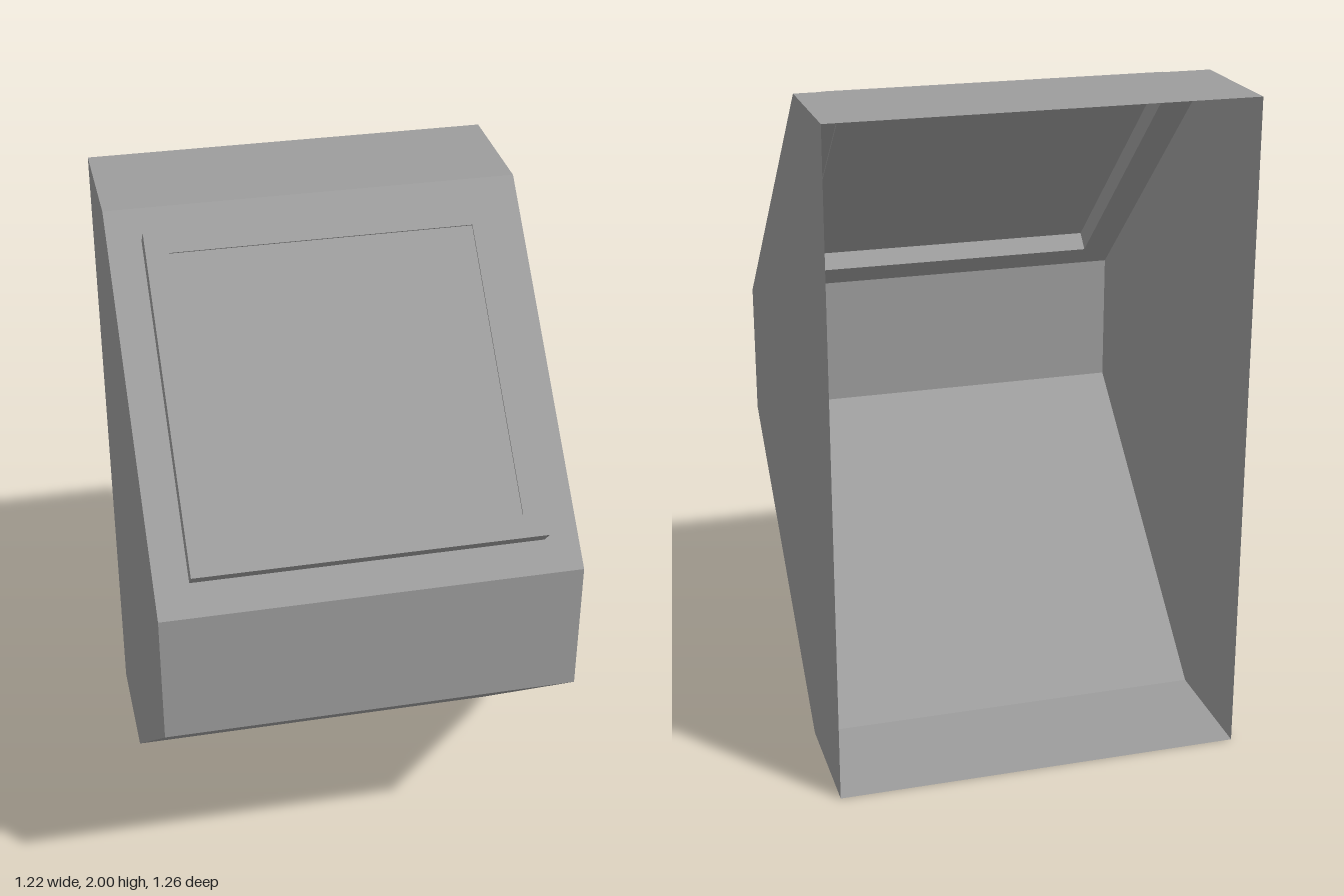
import * as THREE from 'three';

const material = new THREE.MeshStandardMaterial({ color: 0x9d9d9d, flatShading: true, side: THREE.DoubleSide });

function add(parent, name, geometry) {
  const mesh = new THREE.Mesh(geometry, material);
  mesh.name = name;
  parent.add(mesh);
  return mesh;
}

// Strip of flat quads joining two matching rows of points
function strip(a, b, closed = false) {
  const points = [];
  const count = closed ? a.length : a.length - 1;
  for (let i = 0; i < count; i++) {
    const j = (i + 1) % a.length;
    points.push(a[i], b[i], b[j], a[i], b[j], a[j]);
  }
  const geometry = new THREE.BufferGeometry().setFromPoints(points);
  geometry.computeVertexNormals();
  return geometry;
}

// Corners of a centred rectangle, counter-clockwise
const corners = (w, h, z = 0) =>
  [[-1, -1], [1, -1], [1, 1], [-1, 1]].map(([x, y]) => new THREE.Vector3(x * w, y * h, z));

// Flat rectangular sheet with a rectangular opening
function sheetWithHole(w, h, holeW, holeH) {
  const shape = new THREE.Shape(corners(w, h));
  shape.holes.push(new THREE.Path(corners(holeW, holeH).reverse()));
  return new THREE.ShapeGeometry(shape);
}

export function createModel() {
  const model = new THREE.Group();
  model.name = 'slopedCabinet';

  // Side outline as [z, y]; the back stays open
  const halfWidth = 0.612;
  const outline = [[-0.63, 0], [-0.243, 0], [0.63, 0.758], [0.63, 1.17], [-0.243, 2], [-0.63, 2]];

  // Side walls
  for (const side of [-1, 1]) {
    const shape = new THREE.Shape(outline.map(([z, y]) => new THREE.Vector2(-side * z, y)));
    const wall = add(model, side > 0 ? 'leftWall' : 'rightWall', new THREE.ShapeGeometry(shape));
    wall.rotation.y = side * Math.PI / 2;
    wall.position.x = side * halfWidth;
  }

  // Floor, under-slope and front band, then the roof
  const row = (points, x) => points.map(([z, y]) => new THREE.Vector3(x, y, z));
  for (const [name, points] of [['lowerShell', outline.slice(0, 4)], ['roof', outline.slice(4)]]) {
    add(model, name, strip(row(points, -halfWidth), row(points, halfWidth)));
  }

  // Sloped face, built flat and then tilted: y runs up the slope, z points outward
  const [z0, y0] = outline[3], [z1, y1] = outline[4];
  const halfLength = Math.hypot(z1 - z0, y1 - y0) / 2;
  const face = new THREE.Group();
  face.name = 'slopedFace';
  face.position.set(0, (y0 + y1) / 2, (z0 + z1) / 2);
  face.rotation.x = Math.atan2(z1 - z0, y1 - y0);
  model.add(face);

  const frameW = 0.512, frameH = halfLength - 0.099, raise = 0.062;
  const screenW = 0.445, screenH = frameH - 0.067, screenZ = raise - 0.005;

  add(face, 'slopePanel', sheetWithHole(halfWidth, halfLength, frameW, frameH));
  add(face, 'frameSides', strip(corners(frameW, frameH, raise), corners(frameW, frameH), true));
  add(face, 'frameFront', sheetWithHole(frameW, frameH, screenW, screenH)).position.z = raise;
  add(face, 'screenRecess', strip(corners(screenW, screenH, screenZ), corners(screenW, screenH, raise), true));
  add(face, 'screen', new THREE.PlaneGeometry(2 * screenW, 2 * screenH)).position.z = screenZ;

  return model;
}
